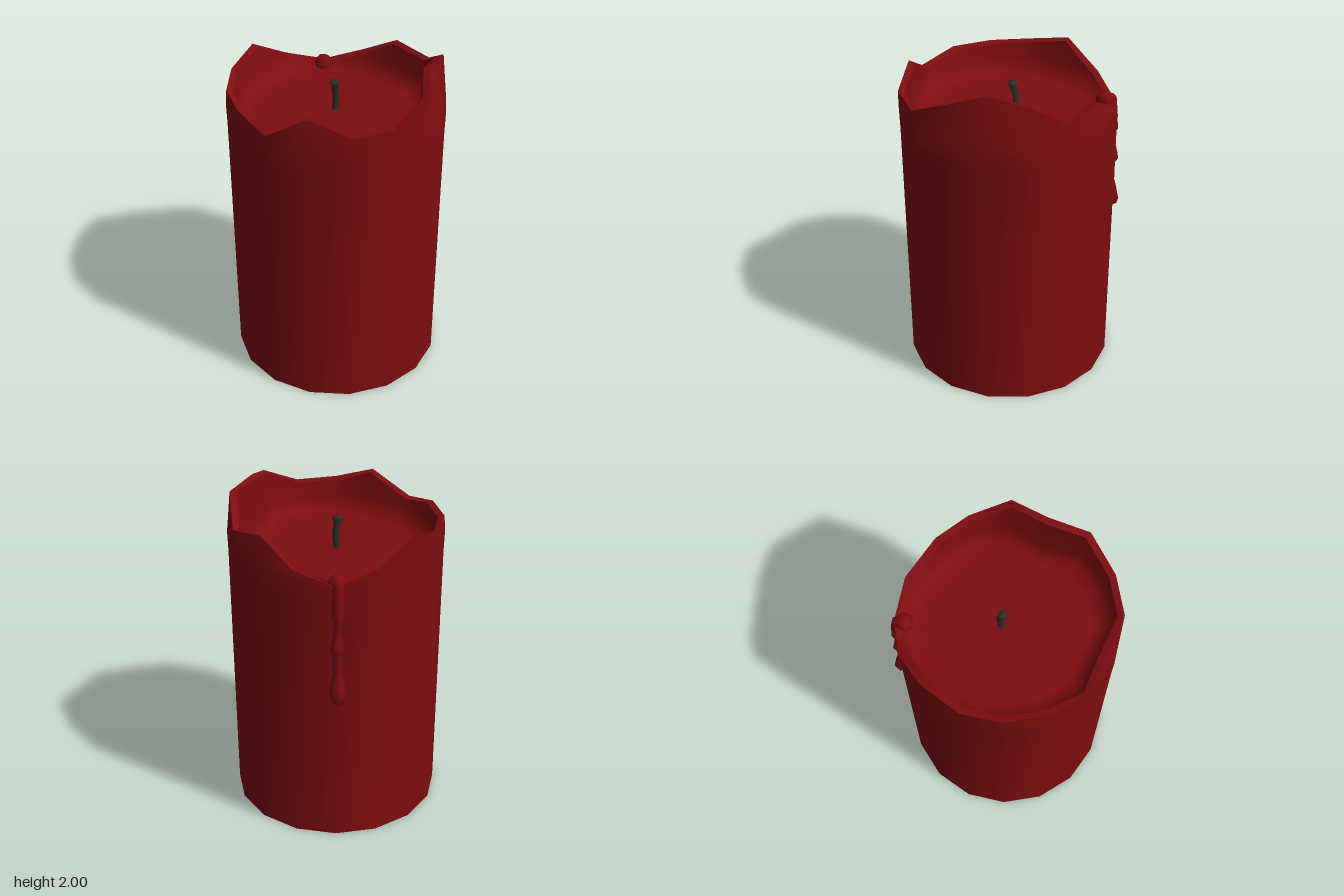
import * as THREE from 'three';

const SIDES = 16;

// Skin a list of rings (equal point counts) into one smooth surface; rings run bottom to top outside
function loft(rings) {
  const n = rings[0].length;
  const pos = rings.flat(2);
  const index = [];
  for (let i = 0; i < rings.length - 1; i++) {
    for (let j = 0; j < n; j++) {
      const a = i * n + j, b = i * n + (j + 1) % n;
      index.push(a, a + n, b, b, a + n, b + n);
    }
  }
  const g = new THREE.BufferGeometry();
  g.setAttribute('position', new THREE.Float32BufferAttribute(pos, 3));
  g.setIndex(index);
  g.computeVertexNormals();
  return g;
}

// Horizontal ring of points around (x, z)
function ring(n, x, z, start, radius, height) {
  return Array.from({ length: n }, (_, k) => {
    const a = start + (k / n) * Math.PI * 2;
    const r = radius(k);
    return [x + r * Math.cos(a), height(k), z + r * Math.sin(a)];
  });
}

// Thin stem from [x, y, z, radius] stations
const stem = (stations, n) =>
  loft(stations.map(([x, y, z, r]) => ring(n, x, z, 0.3, () => r, () => y)));

export function createModel() {
  const model = new THREE.Group();
  const wax = new THREE.MeshStandardMaterial({ color: 0x7e0d0f });
  wax.name = 'red wax';
  const char = new THREE.MeshStandardMaterial({ color: 0x2e3029 });
  char.name = 'charred wick';

  const add = (name, geometry, material) => {
    const mesh = new THREE.Mesh(geometry, material);
    mesh.name = name;
    model.add(mesh);
  };

  // Uneven melted rim: height and inward lean at each of the sides
  const R = 0.64;
  const rimY = [1.97, 2.0, 1.94, 1.825, 1.83, 1.91, 1.77, 1.82,
    1.82, 1.83, 1.88, 1.74, 1.66, 1.74, 1.87, 1.83];
  const lean = [0.96, 0.84, 0.98, 1, 1, 0.93, 1, 0.985,
    0.99, 1, 1, 1, 1, 0.98, 0.92, 0.985];
  const body = (radius, height) => ring(SIDES, 0, 0.03, THREE.MathUtils.degToRad(8), radius, height);
  const shoulderY = k => Math.min(1.72, rimY[k] - 0.05);
  const inner = k => R * (lean[k] - 0.06);
  const innerY = k => rimY[k] - 0.01;

  const base = body(() => R * 0.985, () => 0);
  const rimOuter = body(k => R * lean[k], k => rimY[k]);
  const rimInner = body(inner, innerY);

  // Outer wall, base, rim and bowl are separate so their edges stay sharp
  add('candleWall', loft([
    base,
    body(() => R * 0.995, k => shoulderY(k) - 0.12),
    body(() => R, shoulderY),
    rimOuter,
  ]), wax);
  add('candleBase', loft([body(() => 0, () => 0), base]), wax);
  add('meltedRim', loft([rimOuter, rimInner]), wax);
  add('waxPool', loft([
    rimInner,
    body(k => inner(k) * 0.98, k => Math.min(1.72, innerY(k) - 0.003)),
    body(k => inner(k) * 0.92, () => 1.645),
    body(k => inner(k) * 0.8, () => 1.64),
    body(() => 0, () => 1.638),
  ]), wax);

  // Bent wick with a wider burnt tip
  add('wick', stem([
    [0, 1.62, 0, 0.022], [0.005, 1.69, -0.01, 0.02], [0.006, 1.74, -0.014, 0.022],
    [-0.005, 1.79, 0, 0.02], [-0.006, 1.81, 0.002, 0.03],
    [-0.008, 1.825, 0.002, 0.028], [-0.008, 1.828, 0.002, 0],
  ], 6), char);

  // Wax run down the back, ending in a heavy drop
  add('waxDrip', stem([
    [0.08, 0.935, -0.615, 0], [0.08, 0.945, -0.615, 0.035], [0.08, 0.985, -0.612, 0.05],
    [0.08, 1.03, -0.607, 0.045], [0.08, 1.12, -0.602, 0.026], [0.083, 1.24, -0.6, 0.026],
    [0.083, 1.27, -0.607, 0.038], [0.083, 1.3, -0.606, 0.035], [0.08, 1.36, -0.602, 0.024],
    [0.078, 1.45, -0.6, 0.024], [0.078, 1.47, -0.6, 0.036], [0.076, 1.6, -0.592, 0.036],
    [0.075, 1.67, -0.585, 0.036], [0.075, 1.695, -0.58, 0.02], [0.075, 1.698, -0.58, 0],
  ], 6), wax);

  // Bead of wax where the run spills over the rim
  const bead = new THREE.SphereGeometry(0.06, 6, 5);
  bead.translate(0.07, 1.655, -0.55);
  add('waxBead', bead, wax);

  return model;
}
